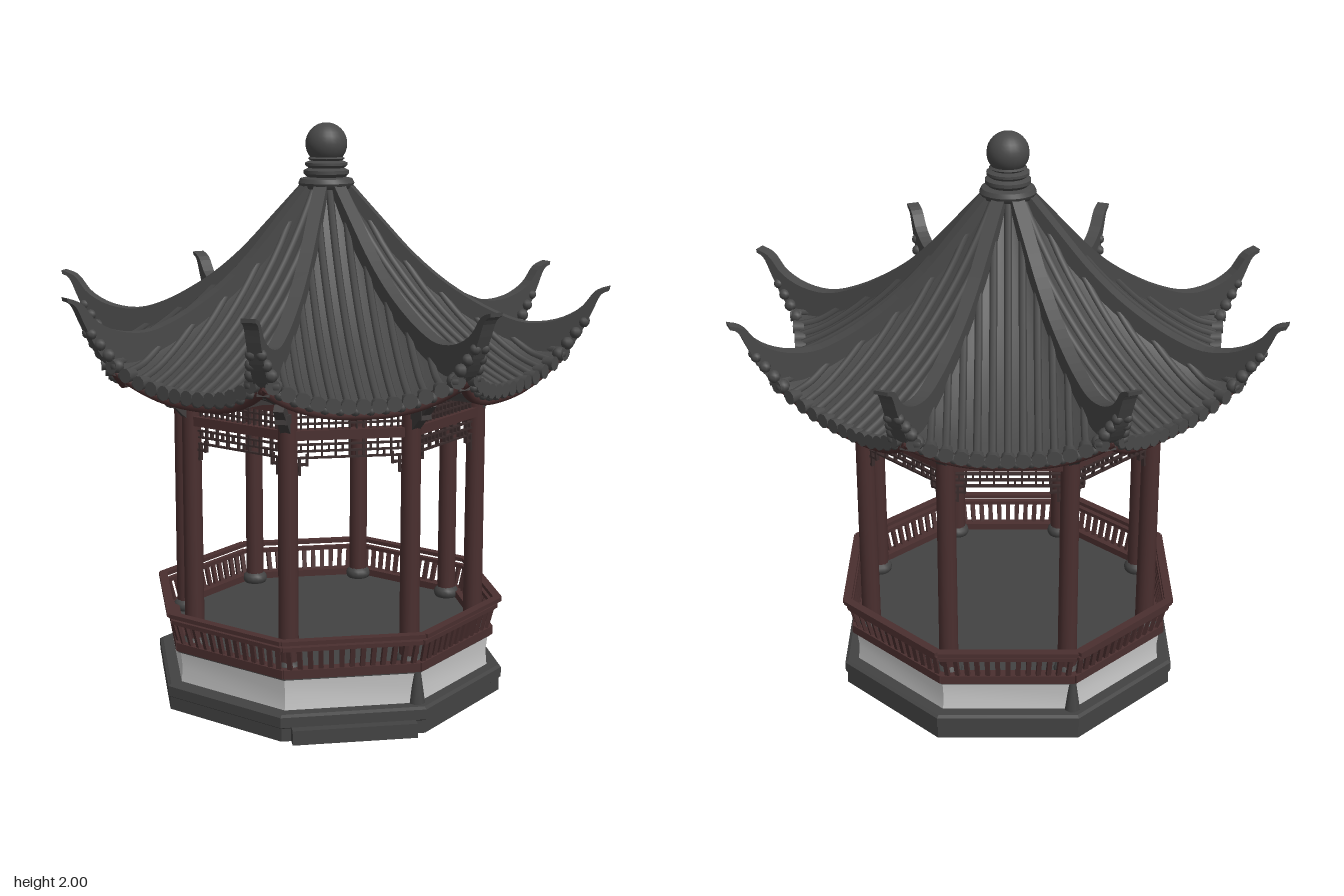
import * as THREE from 'three';
import { mergeGeometries, toCreasedNormals } from 'three/addons/utils/BufferGeometryUtils.js';

const V = (x, y, z) => new THREE.Vector3(x, y, z);
const pts = (list) => list.map(([x, y]) => new THREE.Vector2(x, y));
const mat = (name, color, side = THREE.FrontSide) => {
  const m = new THREE.MeshStandardMaterial({ color, side });
  m.name = name;
  return m;
};
const HALF = Math.PI / 8, S = Math.sin(HALF), C = Math.cos(HALF);
const lerp = THREE.MathUtils.lerp;

function mesh(name, geometry, material) {
  const m = new THREE.Mesh(geometry, material);
  m.name = name;
  return m;
}
// Many small pieces joined into one mesh
const joined = (name, list, material) =>
  mesh(name, mergeGeometries(list.map((g) => (g.index ? g.toNonIndexed() : g))), material);

const box = (w, h, d, x, y, z) => new THREE.BoxGeometry(w, h, d).translate(x, y, z);

// Straight bar between two points
function bar(a, b, w, h) {
  const o = new THREE.Object3D();
  o.position.copy(a).lerp(b, 0.5);
  o.lookAt(b);
  o.updateMatrix();
  return new THREE.BoxGeometry(w, h, a.distanceTo(b)).applyMatrix4(o.matrix);
}
// Eight-sided solid with sharp edges, corners on the axes
const octagon = (profile) => toCreasedNormals(new THREE.LatheGeometry(pts(profile), 8), 0.3);

// Roof profiles (radius, height) along a hip and along the middle of a side
const hip = new THREE.SplineCurve(pts([[0.07, 1.79], [0.2, 1.62], [0.35, 1.48], [0.5, 1.37], [0.65, 1.29], [0.77, 1.25], [0.85, 1.27]]));
const middle = new THREE.SplineCurve(pts([[0.06, 1.79], [0.18, 1.61], [0.31, 1.46], [0.43, 1.35], [0.54, 1.27], [0.65, 1.205], [0.735, 1.165]]));

// Point on one roof side: lat is the sideways offset, t runs from top to eave
function roofPoint(lat, t) {
  const c = hip.getPoint(t), m = middle.getPoint(t);
  const k = Math.pow(Math.min(1, Math.abs(lat) / (c.x * S)), 2.5);
  return V(lat, lerp(m.y, c.y, k), lerp(m.x, c.x * C, k));
}
const eaveHalf = 0.85 * S;

// Plane whose vertices are moved by a rule of u (-1..1) and t (0..1)
function sheet(nu, nt, rule) {
  const g = new THREE.PlaneGeometry(2, 1, nu, nt);
  const p = g.attributes.position;
  for (let i = 0; i < p.count; i++) {
    const q = rule(p.getX(i), 0.5 - p.getY(i));
    p.setXYZ(i, q.x, q.y, q.z);
  }
  g.computeVertexNormals();
  return g;
}

export function createModel() {
  const tile = mat('slate tile', 0x484848);
  const tileSheet = mat('slate roof sheet', 0x444444, THREE.DoubleSide);
  const wood = mat('dark red wood', 0x4a2f2f);
  const lattice = mat('lattice wood', 0x3a2c2c);
  const soffitMat = mat('grey timber', 0x403c3c, THREE.DoubleSide);
  const stone = mat('dark stone', 0x434343);
  const white = mat('pale plinth', 0xc8c8c8);

  const model = new THREE.Group();
  model.name = 'pavilion';

  // Base: hollow-bottomed slab, pale plinth, floor
  model.add(mesh('baseSlab', octagon([[0, 0.06], [0.4, 0.045], [0.57, 0.015], [0.575, 0], [0.635, 0], [0.635, 0.045],
    [0.642, 0.05], [0.642, 0.085], [0.63, 0.092], [0.5, 0.092]]), stone));
  model.add(mesh('plinth', octagon([[0.59, 0.09], [0.585, 0.145], [0.592, 0.202]]), white));
  model.add(mesh('floor', octagon([[0.58, 0.198], [0.6, 0.2], [0.6, 0.212], [0, 0.212]]), stone));
  const step = mesh('entranceStep', box(0.42, 0.05, 0.06, 0, 0.025, 0.595), stone);
  step.rotation.y = -HALF;
  model.add(step);
  for (const s of [1, -1]) {
    model.add(mesh('plinthCornerStone', new THREE.CylinderGeometry(0.012, 0.028, 0.11, 8).translate(0, 0.147, 0.585 * s), stone));
  }

  // ---- One side, facing +z ----
  const side = new THREE.Group();
  side.name = 'side';

  // Leaning railing
  const rails = [
    box(0.48, 0.014, 0.03, 0, 0.34, 0.577),
    box(0.47, 0.014, 0.02, 0, 0.314, 0.569),
    box(0.46, 0.03, 0.04, 0, 0.222, 0.543),
  ];
  for (let i = -6; i <= 6; i++) {
    rails.push(bar(V(i * 0.0345, 0.23, 0.55), V(i * 0.036, 0.316, 0.57), 0.016, 0.012));
  }
  side.add(joined('railing', rails, wood));

  // Tie beams between column tops
  side.add(joined('tieBeams', [box(0.41, 0.032, 0.04, 0, 1.018, 0.494), box(0.42, 0.035, 0.05, 0, 1.112, 0.494)], wood));

  // Upper and hanging lattice
  const grid = [];
  for (const y of [1.053, 1.075, 0.94, 0.962, 0.984]) grid.push(box(0.4, 0.006, 0.012, 0, y, 0.494));
  for (let i = -8; i <= 8; i++) {
    grid.push(box(0.006, 0.07, 0.012, i * 0.023, 1.065, 0.494));
    if (i % 2 === 0) grid.push(box(0.006, 0.066, 0.012, i * 0.023, 0.97, 0.494));
    else grid.push(box(0.006, 0.022, 0.012, i * 0.023, i % 4 === 1 ? 0.951 : 0.973, 0.494));
  }
  for (const s of [1, -1]) {
    grid.push(box(0.05, 0.008, 0.014, s * 0.165, 0.918, 0.494), box(0.008, 0.04, 0.014, s * 0.142, 0.932, 0.494));
    grid.push(box(0.026, 0.008, 0.014, s * 0.178, 0.888, 0.494), box(0.008, 0.06, 0.014, s * 0.166, 0.912, 0.494));
  }
  side.add(joined('lattice', grid, lattice));

  // Roof sheet
  side.add(mesh('roofSheet', sheet(20, 18, (u, t) => roofPoint(u * hip.getPoint(t).x * S, t)), tileSheet));

  // Tile ribs and their round end caps
  const ribs = [], caps = [];
  for (let i = -6; i <= 6; i++) {
    const lat = i * 0.048;
    let t0 = 0;
    while (hip.getPoint(t0).x * S < Math.abs(lat)) t0 += 0.01;
    const path = [];
    for (let k = 0; k <= 8; k++) path.push(roofPoint(lat, lerp(t0, 1, k / 8)).add(V(0, 0.003, 0)));
    ribs.push(new THREE.TubeGeometry(new THREE.CatmullRomCurve3(path), 12, 0.013, 6));
    const e = path[8];
    caps.push(new THREE.CylinderGeometry(0.025, 0.022, 0.04, 9).rotateX(Math.PI / 2).translate(e.x, e.y - 0.01, e.z));
    if (i < 6) {
      const d = roofPoint(lat + 0.024, 1);
      caps.push(new THREE.SphereGeometry(0.017, 7, 5).translate(d.x, d.y - 0.024, d.z - 0.004));
    }
  }
  side.add(joined('tileRibs', ribs, tile), joined('eaveCaps', caps, tile));

  // Eave board, soffit and rafters
  const eave = [];
  for (let i = -6; i <= 6; i++) eave.push(roofPoint(i / 6 * eaveHalf, 1).add(V(0, -0.042, -0.025)));
  side.add(mesh('eaveBoard', new THREE.TubeGeometry(new THREE.CatmullRomCurve3(eave), 24, 0.016, 6), wood));
  const soffitPoint = (u, t) => roofPoint(u * eaveHalf, 1).add(V(0, -0.03, -0.01)).lerp(V(u * 0.21, 1.135, 0.5), t);
  side.add(mesh('soffit', sheet(12, 2, soffitPoint), soffitMat));
  const rafters = [];
  for (let i = -6; i <= 6; i++) {
    rafters.push(bar(soffitPoint(i / 6.6, 0.06).add(V(0, -0.014, 0)), soffitPoint(i / 6.6, 1).add(V(0, -0.012, 0)), 0.016, 0.016));
  }
  side.add(joined('rafters', rafters, soffitMat));
  // Inner rafters under the upper roof
  const inner = [];
  for (let i = -3; i <= 3; i++) {
    inner.push(bar(V(i * 0.055, 1.14, 0.48), V(i * 0.008, 1.68, 0.09), 0.014, 0.016));
  }
  side.add(joined('innerRafters', inner, soffitMat));

  // ---- One corner, along +z ----
  const corner = new THREE.Group();
  corner.name = 'corner';
  corner.add(mesh('column', new THREE.CylinderGeometry(0.032, 0.034, 0.92, 14).translate(0, 0.66, 0.535), wood));
  corner.add(mesh('columnBase', new THREE.SphereGeometry(0.047, 14, 8).scale(1, 0.7, 1).translate(0, 0.228, 0.535), stone));
  corner.add(joined('bracket', [
    bar(V(0, 1.075, 0.52), V(0, 1.085, 0.62), 0.04, 0.03),
    bar(V(0, 1.03, 0.54), V(0, 1.13, 0.64), 0.034, 0.034),
    bar(V(0, 1.11, 0.48), V(0, 1.22, 0.82), 0.04, 0.04),
  ], soffitMat));

  // Upswept hip ridge
  const shape = new THREE.Shape();
  shape.moveTo(0.07, 1.81);
  shape.splineThru(pts([[0.2, 1.67], [0.3, 1.565], [0.4, 1.48], [0.5, 1.415], [0.6, 1.365], [0.7, 1.335], [0.8, 1.345],
    [0.88, 1.385], [0.93, 1.445], [0.98, 1.465]]));
  shape.lineTo(0.978, 1.452);
  shape.splineThru(pts([[0.95, 1.435], [0.92, 1.37], [0.88, 1.29], [0.83, 1.23], [0.75, 1.225], [0.6, 1.285], [0.4, 1.41],
    [0.2, 1.58], [0.07, 1.76]]));
  const ridge = new THREE.ExtrudeGeometry(shape, { depth: 0.046, bevelEnabled: false, curveSegments: 3 });
  corner.add(mesh('hipRidge', ridge.translate(0, 0, -0.023).rotateY(-Math.PI / 2), tile));

  // Stepped tile ends under the ridge tip
  const ends = [];
  for (const s of [1, -1]) {
    for (let i = 0; i < 4; i++) {
      ends.push(new THREE.SphereGeometry(0.024 - i * 0.002, 8, 6).translate(s * (0.038 - i * 0.007), 1.235 + i * 0.036, 0.82 + i * 0.026));
    }
  }
  corner.add(joined('cornerTileEnds', ends, tile));

  for (let k = 0; k < 8; k++) {
    const s = side.clone(), c = corner.clone();
    s.rotation.y = HALF + k * Math.PI / 4;
    c.rotation.y = k * Math.PI / 4;
    model.add(s, c);
  }

  // Finial: stacked rings and a ball
  const rings = [[0.05, 1.76], [0.09, 1.778], [0.097, 1.795], [0.09, 1.81], [0.066, 1.815], [0.078, 1.826], [0.078, 1.838],
    [0.062, 1.846], [0.073, 1.855], [0.073, 1.864], [0.055, 1.871], [0.064, 1.878], [0.05, 1.888], [0.03, 1.9]];
  model.add(mesh('finialRings', toCreasedNormals(new THREE.LatheGeometry(pts(rings), 24), 0.8), tile));
  model.add(mesh('finialBall', new THREE.SphereGeometry(0.072, 24, 16).translate(0, 1.928, 0), tile));
  return model;
}
